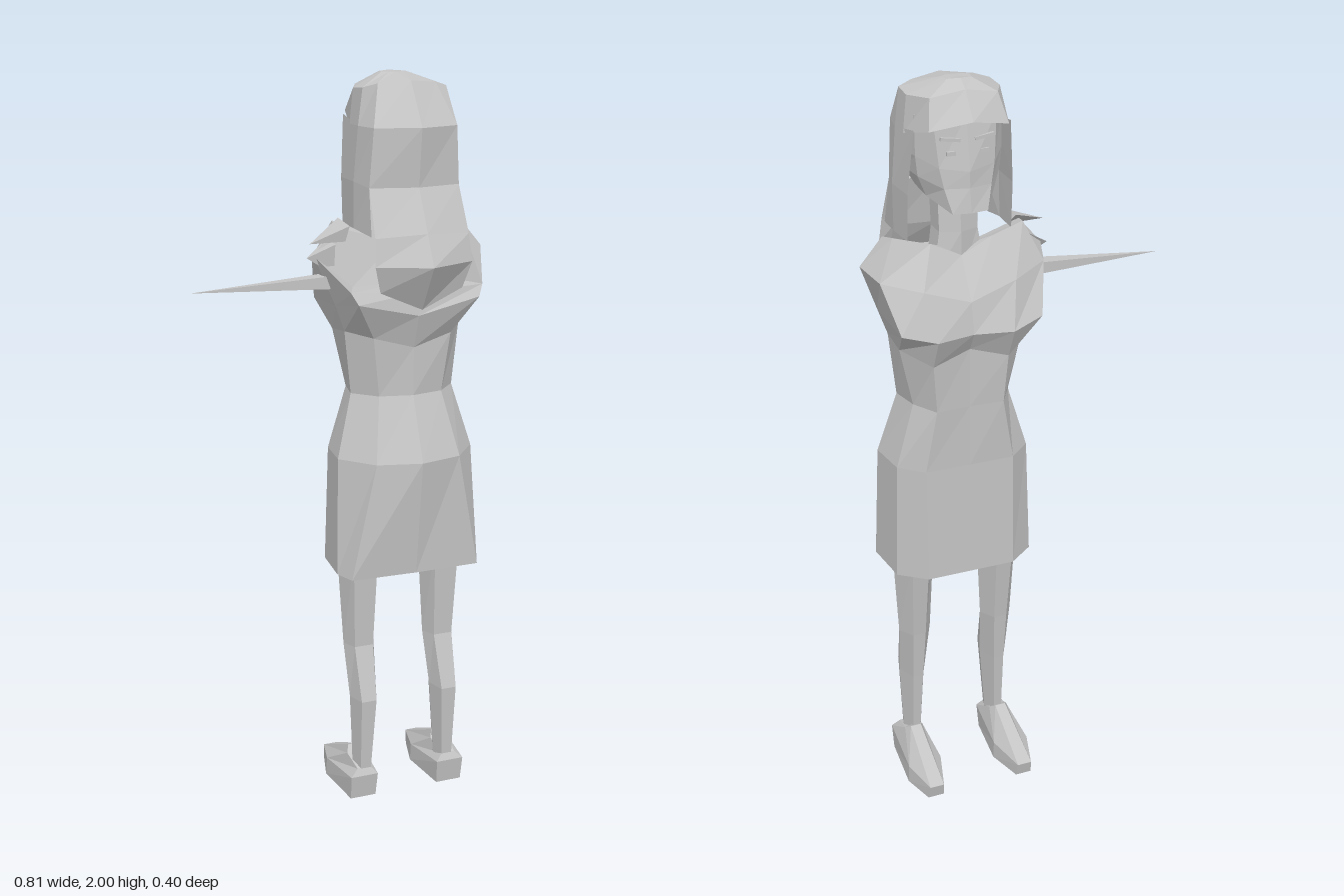
import * as THREE from 'three';

const CX = 0.17; // the body's own centre line

export function createModel() {
  const root = new THREE.Group();
  const grey = new THREE.MeshStandardMaterial({ color: 0xc4c4c4, flatShading: true, side: THREE.DoubleSide });
  grey.name = 'plain grey';

  function addMesh(name, points, parent = root) {
    const geo = new THREE.BufferGeometry();
    geo.setAttribute('position', new THREE.Float32BufferAttribute(points.flat(), 3));
    geo.computeVertexNormals();
    const mesh = new THREE.Mesh(geo, grey);
    mesh.name = name;
    parent.add(mesh);
    return mesh;
  }

  // Half outline [dx, y, z] from front to back, completed on the other side
  const mirror = (half) => [
    ...half,
    ...half.filter((p) => p[0] > 0).reverse().map(([x, y, z]) => [-x, y, z]),
  ].map(([x, y, z]) => [CX + x, y, z]);
  const level = (y, half) => mirror(half.map(([x, z]) => [x, y, z]));

  const middle = (ring) => [0, 1, 2].map((k) => ring.reduce((s, p) => s + p[k], 0) / ring.length);

  // Skin over cross-sections listed from bottom to top
  function loft(name, rings, { wrap = true, caps = true, parent = root } = {}) {
    const tris = [];
    const n = rings[0].length;
    const last = wrap ? n : n - 1;
    for (let r = 0; r < rings.length - 1; r++) {
      for (let i = 0; i < last; i++) {
        const j = (i + 1) % n;
        const a = rings[r][i], b = rings[r][j], c = rings[r + 1][i], d = rings[r + 1][j];
        tris.push(a, c, b, b, c, d);
      }
    }
    if (wrap && caps) {
      const low = rings[0], high = rings[rings.length - 1];
      const lm = middle(low), hm = middle(high);
      for (let i = 0; i < n; i++) {
        const j = (i + 1) % n;
        tris.push(lm, low[i], low[j], hm, high[j], high[i]);
      }
    }
    return addMesh(name, tris, parent);
  }

  // Dress: skirt, waist, bust and sloping shoulders
  loft('skirt', [
    level(0.68, [[0, -0.14], [0.12, -0.14], [0.19, -0.085], [0.205, 0.05], [0.185, 0.11], [0, 0.115]]),
    level(1.0, [[0, -0.14], [0.12, -0.14], [0.18, -0.085], [0.195, 0.03], [0.12, 0.12], [0, 0.15]]),
    level(1.17, [[0, -0.145], [0.09, -0.15], [0.13, -0.08], [0.147, 0], [0.09, 0.06], [0, 0.08]]),
  ]);
  loft('bodice', [
    level(1.17, [[0, -0.145], [0.09, -0.15], [0.13, -0.08], [0.147, 0], [0.09, 0.06], [0, 0.08]]),
    mirror([[0, 1.33, -0.15], [0.1, 1.3, -0.16], [0.165, 1.33, -0.09], [0.165, 1.34, 0], [0.11, 1.33, 0.07], [0, 1.3, 0.08]]),
    mirror([[0, 1.38, -0.18], [0.1, 1.38, -0.2], [0.185, 1.4, -0.175], [0.19, 1.41, 0], [0.17, 1.43, 0.115], [0, 1.39, 0.11]]),
    mirror([[0, 1.46, -0.165], [0.12, 1.5, -0.16], [0.215, 1.52, -0.11], [0.24, 1.54, -0.03], [0.185, 1.46, 0.1], [0, 1.45, 0.1]]),
    mirror([[0, 1.56, -0.1], [0.08, 1.6, -0.1], [0.17, 1.62, -0.08], [0.18, 1.61, -0.03], [0.15, 1.46, 0.02], [0, 1.46, 0.0]]),
  ]);

  // Neck
  loft('neck', [
    level(1.5, [[0, -0.1], [0.07, -0.085], [0.07, -0.03], [0, -0.005]]),
    level(1.62, [[0, -0.1], [0.05, -0.08], [0.05, -0.02], [0, 0.0]]),
    level(1.75, [[0, -0.09], [0.05, -0.07], [0.05, -0.01], [0, 0.01]]),
  ]);

  // Face, narrowing to the chin
  loft('face', [
    mirror([[0, 1.69, -0.172], [0.045, 1.69, -0.165], [0.085, 1.72, -0.09], [0.08, 1.72, 0.0]]),
    mirror([[0, 1.75, -0.165], [0.06, 1.75, -0.15], [0.105, 1.77, -0.09], [0.11, 1.77, 0.0]]),
    mirror([[0, 1.79, -0.165], [0.07, 1.8, -0.145], [0.11, 1.82, -0.09], [0.12, 1.82, 0.0]]),
    level(1.92, [[0, -0.145], [0.08, -0.135], [0.11, -0.09], [0.11, 0.0]]),
  ]);

  // Eyes and brows
  for (const s of [-1, 1]) {
    const eye = new THREE.Mesh(new THREE.BoxGeometry(0.022, 0.01, 0.008), grey);
    eye.name = 'eye';
    eye.position.set(CX + s * 0.042, 1.835, -0.151);
    const brow = new THREE.Mesh(new THREE.BoxGeometry(0.05, 0.008, 0.009), grey);
    brow.name = 'brow';
    brow.position.set(CX + s * 0.043, 1.868, -0.149);
    brow.rotation.z = s * 0.15;
    root.add(eye, brow);
  }

  // Hair: crown with a fringe, open side panels, and a thick fall behind
  loft('hairCrown', [
    mirror([[0, 1.915, -0.19], [0.1, 1.895, -0.163], [0.128, 1.87, -0.06], [0.128, 1.87, 0], [0.115, 1.87, 0.075], [0, 1.87, 0.115]]),
    mirror([[0, 1.98, -0.14], [0.085, 1.965, -0.13], [0.118, 1.96, -0.06], [0.116, 1.965, 0], [0.08, 1.975, 0.014], [0, 1.982, 0.04]]),
    mirror([[0, 2, -0.11], [0.03, 1.998, -0.1], [0.035, 1.998, -0.08], [0.035, 1.998, -0.07], [0.02, 1.998, -0.06], [0, 1.998, -0.06]]),
  ]);
  loft('hairSides', [
    mirror([[0.135, 1.61, -0.09], [0.14, 1.61, 0], [0.13, 1.6, 0.1], [0, 1.62, 0.13]]),
    mirror([[0.135, 1.73, -0.1], [0.14, 1.73, 0], [0.125, 1.72, 0.07], [0, 1.72, 0.1]]),
    mirror([[0.122, 1.89, -0.12], [0.128, 1.87, 0], [0.115, 1.87, 0.075], [0, 1.87, 0.115]]),
  ], { wrap: false });
  loft('hairFall', [
    mirror([[0, 1.43, 0.1], [0.1, 1.46, 0.1], [0.115, 1.46, 0.125], [0, 1.41, 0.13]]),
    mirror([[0, 1.52, 0.125], [0.11, 1.52, 0.125], [0.135, 1.53, 0.14], [0, 1.53, 0.2]]),
    mirror([[0, 1.59, 0.08], [0.11, 1.59, 0.09], [0.13, 1.6, 0.125], [0, 1.61, 0.158]]),
    mirror([[0, 1.72, 0.05], [0.11, 1.72, 0.05], [0.125, 1.72, 0.07], [0, 1.72, 0.1]]),
  ]);

  // Legs and shoes
  for (const s of [-1, 1]) {
    const leg = new THREE.Group();
    leg.name = s > 0 ? 'leftLeg' : 'rightLeg';
    root.add(leg);
    // [y, inner dx, outer dx, front z, back z]
    const legRings = [
      [0.08, 0.1, 0.15, -0.01, 0.065], [0.3, 0.085, 0.158, -0.03, 0.08],
      [0.45, 0.075, 0.165, -0.048, 0.035], [0.72, 0.062, 0.18, -0.085, 0.05],
    ].map(([y, a, b, f, k]) => {
      const m = (a + b) / 2, w = (b - a) / 2, c = (f + k) / 2;
      return [[m - w * 0.4, f], [m + w * 0.4, f], [b, c], [m + w * 0.6, k], [m - w * 0.6, k], [a, c]]
        .map(([x, z]) => [CX + x, y, z]);
    });
    const shoe = (y, pts) => pts.map(([x, z, h = y]) => [CX + 0.13 + x, h, z]);
    const shoeRings = [
      shoe(0, [[-0.02, -0.19], [0.025, -0.19], [0.053, -0.1], [0.04, 0.065], [-0.035, 0.065], [-0.05, -0.09]]),
      shoe(0.05, [[-0.018, -0.2, 0.04], [0.022, -0.2, 0.04], [0.05, -0.1], [0.042, 0.075, 0.07], [-0.038, 0.075, 0.07], [-0.048, -0.09]]),
      shoe(0.11, [[-0.015, -0.02, 0.125], [0.015, -0.02, 0.125], [0.026, 0], [0.02, 0.065, 0.09], [-0.02, 0.065, 0.09], [-0.026, 0]]),
    ];
    const flip = (rings) => (s > 0 ? rings
      : rings.map((r) => r.map(([x, y, z]) => [2 * CX - x, y, z]).reverse()));
    loft('lowerLeg', flip(legRings), { parent: leg });
    loft('shoe', flip(shoeRings), { parent: leg });
  }

  // Pointed pieces on the right shoulder
  const spike = (name, tip, base) => {
    const tris = [];
    base.forEach((p, i) => tris.push(p, base[(i + 1) % base.length], tip));
    addMesh(name, tris);
  };
  spike('longSpike', [-0.405, 1.465, -0.027], [[-0.02, 1.455, -0.045], [-0.02, 1.49, -0.045], [-0.02, 1.49, 0.005], [-0.02, 1.455, 0.005]]);
  spike('upperShoulderPoint', [-0.1, 1.58, 0.025], [[0.01, 1.63, -0.06], [0.01, 1.62, 0.025], [0, 1.58, 0.02]]);
  spike('lowerShoulderPoint', [-0.09, 1.535, -0.025], [[-0.02, 1.58, -0.06], [-0.02, 1.57, 0], [-0.02, 1.49, -0.01]]);

  return root;
}
